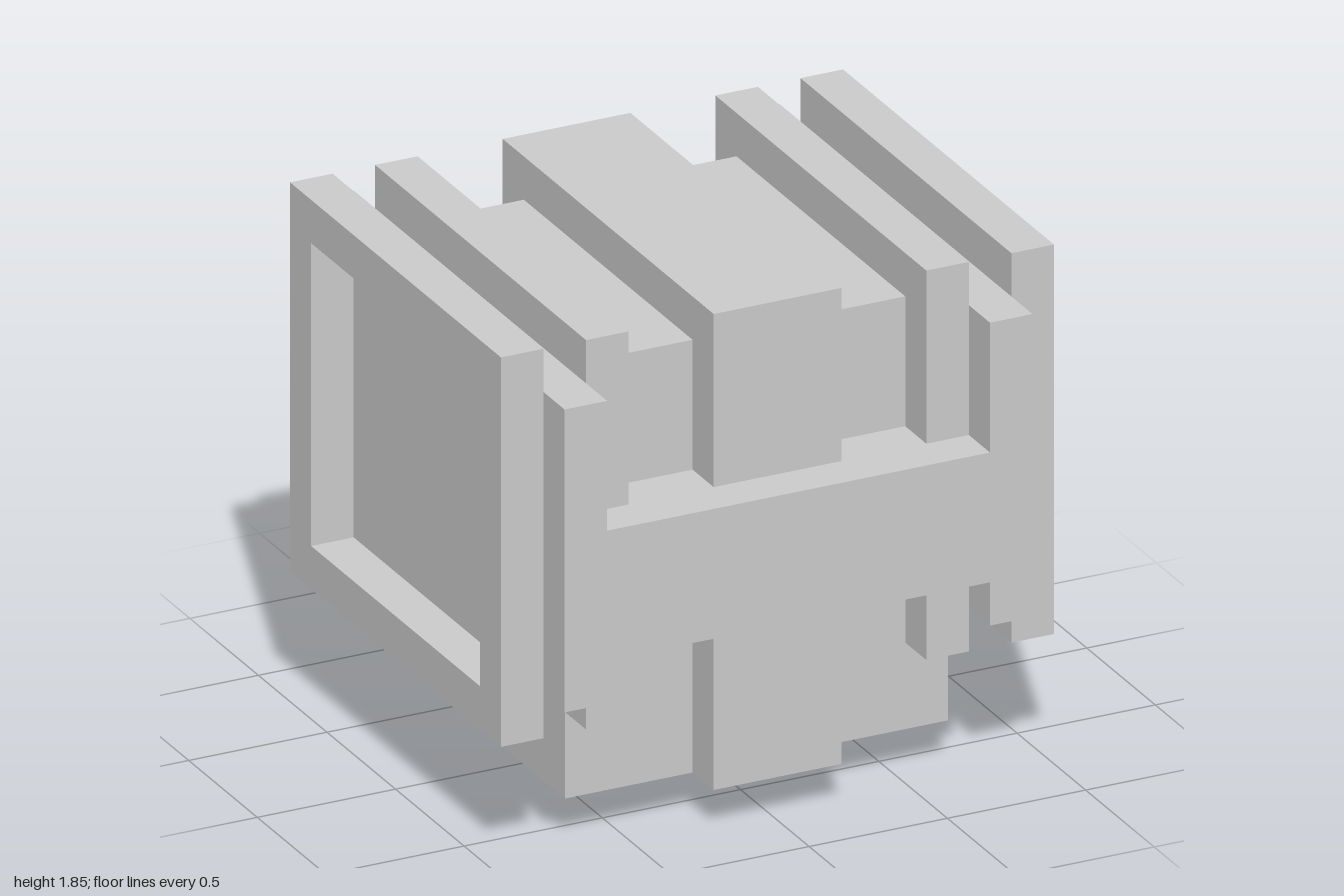
import * as THREE from 'three';

// Everything sits on a block grid: 13 units wide = 2
const U = 2 / 13;

export function createModel() {
  const group = new THREE.Group();
  group.name = 'blockBody';
  const material = new THREE.MeshStandardMaterial({ color: 0xcccccc, flatShading: true });

  // Box from its minimum and maximum corners in grid units
  function block(name, [x0, y0, z0], [x1, y1, z1]) {
    const geometry = new THREE.BoxGeometry((x1 - x0) * U, (y1 - y0) * U, (z1 - z0) * U);
    const mesh = new THREE.Mesh(geometry, material);
    mesh.position.set((x0 + x1) / 2 * U, (y0 + y1) / 2 * U, (z0 + z1) / 2 * U);
    mesh.name = name;
    group.add(mesh);
  }

  // Central body
  block('core', [-3.5, 3, -4], [3.5, 11, 4]);
  block('base', [-4.5, 1, -4], [4.5, 3, 4]);
  block('spine', [-1.5, 1, -5], [1.5, 12, 5]);
  block('peg', [-1.5, 0, -1], [1.5, 1, 2]);
  block('frontBar', [-4.5, 5, 4], [4.5, 8, 6]);

  // Square outer frame with a recessed window, extruded along x
  const outline = new THREE.Shape([[-5, 3], [5, 3], [5, 12], [-5, 12]].map(([z, y]) => new THREE.Vector2(z * U, y * U)));
  outline.holes.push(new THREE.Path([[-4, 4], [-4, 11], [4, 11], [4, 4]].map(([z, y]) => new THREE.Vector2(z * U, y * U))));
  const frameGeometry = new THREE.ExtrudeGeometry(outline, { depth: U, bevelEnabled: false });
  frameGeometry.rotateY(Math.PI / 2);

  // Side plates, mirrored left and right
  for (const [side, s] of [['left', 1], ['right', -1]]) {
    const plate = (name, a, b, y0, y1, z) =>
      block(side + name, [Math.min(s * a, s * b), y0, -z], [Math.max(s * a, s * b), y1, z]);
    plate('InnerPlate', 3.5, 4.5, 3, 12, 5);
    plate('MiddlePlate', 4.5, 5.5, 4, 11, 6);
    const frame = new THREE.Mesh(frameGeometry, material);
    frame.name = side + 'OuterFrame';
    frame.position.x = (s > 0 ? 5.5 : -6.5) * U;
    group.add(frame);
  }
  return group;
}
